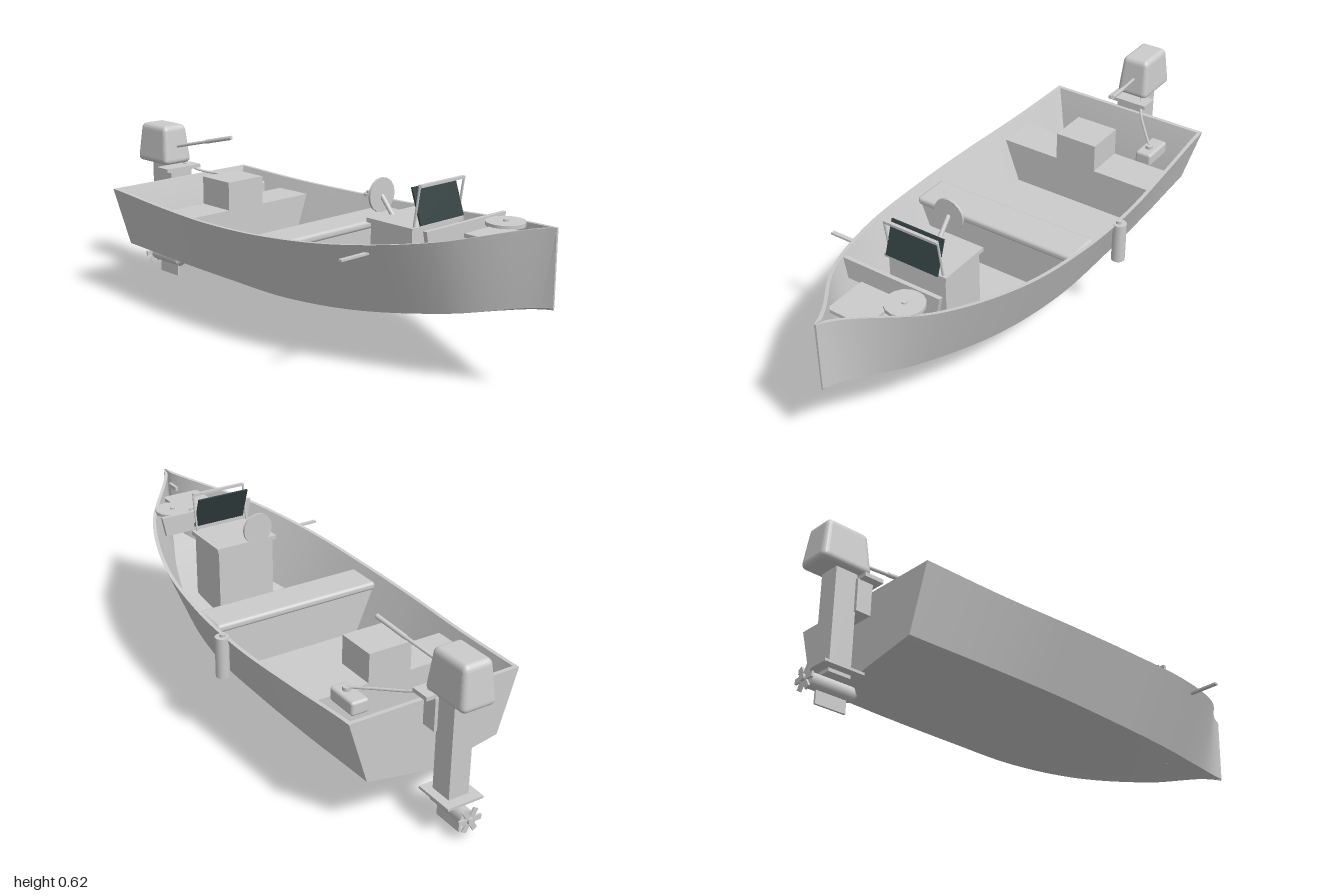
import * as THREE from 'three';
import { toCreasedNormals } from 'three/addons/utils/BufferGeometryUtils.js';
import { RoundedBoxGeometry } from 'three/addons/geometries/RoundedBoxGeometry.js';

const grey = new THREE.MeshStandardMaterial({ color: 0xcccccc });
const hullGrey = new THREE.MeshStandardMaterial({ color: 0xcccccc, side: THREE.DoubleSide });
const glass = new THREE.MeshStandardMaterial({ color: 0x334040 });

// Hull lines, sampled at seven evenly spaced stations from stern to bow
const X0 = -0.8, X1 = 1;
const line = (values) => {
  const curve = new THREE.SplineCurve(values.map((v, i) => new THREE.Vector2(i, v)));
  return (t) => curve.getPoint(t).y;
};
const rimZ = line([0.32, 0.337, 0.355, 0.349, 0.31, 0.205, 0.004]);
const rimY = line([0.415, 0.403, 0.4, 0.41, 0.437, 0.483, 0.55]);
const chineZ = line([0.25, 0.262, 0.267, 0.258, 0.212, 0.12, 0.003]);
const chineY = line([0.19, 0.187, 0.185, 0.182, 0.199, 0.24, 0.303]);
const keelY = line([0.145, 0.145, 0.145, 0.145, 0.16, 0.22, 0.296]);

// Half section: keel, chine, rim, inner rim, floor edge, floor middle
function halfSection(t) {
  const x = X0 + (X1 - X0) * t;
  const innerX = (start) => Math.max(x, start);
  const floorY = Math.max(0.2, chineY(t) + 0.012);
  return [
    [x, keelY(t), 0],
    [x, chineY(t), chineZ(t)],
    [x, rimY(t), rimZ(t)],
    [innerX(-0.785), rimY(t), Math.max(0.001, rimZ(t) - 0.014)],
    [innerX(-0.73), floorY, Math.max(0.0005, chineZ(t) - 0.008)],
    [innerX(-0.73), floorY, 0],
  ];
}

function hullGeometry() {
  const pos = [];
  const tri = (a, b, c) => pos.push(...a, ...b, ...c);
  const quad = (a, b, c, d) => { tri(a, b, c); tri(a, c, d); };
  const flip = ([x, y, z]) => [x, y, -z];
  const n = 48;
  for (let i = 0; i < n; i++) {
    const a = halfSection(i / n), b = halfSection((i + 1) / n);
    for (let j = 0; j < 5; j++) {
      quad(a[j], b[j], b[j + 1], a[j + 1]);
      quad(flip(a[j]), flip(a[j + 1]), flip(b[j + 1]), flip(b[j]));
    }
  }
  // Transom: outside, top edge and sloping inside
  const [k, c, r, ir, f] = halfSection(0);
  tri(k, c, flip(c));
  quad(flip(c), c, r, flip(r));
  quad(flip(r), r, ir, flip(ir));
  quad(flip(ir), ir, f, flip(f));
  // Narrow stem face
  const [bk, bc, br] = halfSection(1);
  tri(bk, flip(bc), bc);
  quad(bc, flip(bc), flip(br), br);
  const g = new THREE.BufferGeometry();
  g.setAttribute('position', new THREE.Float32BufferAttribute(pos, 3));
  return toCreasedNormals(g, 0.4);
}

// Slab across the boat with sloping ends, from x0 to x1
function crossSlab(x0, x1, y0, half0, y1, half1) {
  const s = new THREE.Shape([[-half0, y0], [half0, y0], [half1, y1], [-half1, y1]]
    .map(([x, y]) => new THREE.Vector2(x, y)));
  return new THREE.ExtrudeGeometry(s, { depth: x1 - x0, bevelEnabled: false })
    .rotateY(Math.PI / 2).translate(x0, 0, 0);
}

// Box given by its limits on each axis
const box = (x0, x1, y0, y1, z0, z1) =>
  new THREE.BoxGeometry(x1 - x0, y1 - y0, z1 - z0)
    .translate((x0 + x1) / 2, (y0 + y1) / 2, (z0 + z1) / 2);

const tube = (points, r) => new THREE.TubeGeometry(
  new THREE.CatmullRomCurve3(points.map((p) => new THREE.Vector3(...p))), 20, r, 8);

// Straight round bar between two points
function bar(a, b, r0, r1 = r0) {
  const va = new THREE.Vector3(...a), vb = new THREE.Vector3(...b);
  const d = vb.clone().sub(va);
  const q = new THREE.Quaternion().setFromUnitVectors(new THREE.Vector3(0, 1, 0), d.clone().normalize());
  const mid = va.add(vb).multiplyScalar(0.5);
  return new THREE.CylinderGeometry(r1, r0, d.length(), 16).applyQuaternion(q).translate(mid.x, mid.y, mid.z);
}

function buildMotor(add) {
  // Cowling narrows toward its top
  const cowl = new RoundedBoxGeometry(0.19, 0.15, 0.13, 3, 0.02);
  const p = cowl.attributes.position;
  for (let i = 0; i < p.count; i++) {
    const k = 1 - 0.2 * (p.getY(i) / 0.15 + 0.5);
    p.setX(i, p.getX(i) * k);
    p.setZ(i, p.getZ(i) * k);
  }
  cowl.computeVertexNormals();
  add('motorCowling', cowl.translate(-0.905, 0.537, 0));
  add('motorLeg', box(-0.93, -0.85, 0.1, 0.47, -0.038, 0.038));
  add('motorClamp', box(-0.855, -0.798, 0.33, 0.445, -0.05, 0.05));
  add('clampPlate', box(-0.85, -0.78, 0.442, 0.456, -0.08, 0.08));
  add('waterPlate', box(-0.965, -0.82, 0.112, 0.121, -0.068, 0.068));
  add('gearCase', bar([-0.975, 0.07, 0], [-0.82, 0.07, 0], 0.026));
  add('gearCaseNose', bar([-0.82, 0.07, 0], [-0.8, 0.07, 0], 0.026, 0.006));
  add('skeg', box(-0.945, -0.835, 0, 0.06, -0.004, 0.004));
  for (let i = 0; i < 3; i++) {
    add('propellerBlades', new THREE.BoxGeometry(0.007, 0.018, 0.086)
      .rotateX(i * Math.PI / 3).translate(-0.987, 0.07, 0));
  }
  add('propellerHub', bar([-0.999, 0.07, 0], [-0.97, 0.07, 0], 0.012));
  add('tiller', bar([-0.83, 0.53, 0], [-0.68, 0.565, -0.035], 0.006));
  add('tillerGrip', bar([-0.68, 0.565, -0.035], [-0.56, 0.593, -0.06], 0.008));
}

function buildConsole(add) {
  add('consoleBody', box(0.35, 0.53, 0.2, 0.467, -0.113, 0.113));
  add('consoleTop', box(0.34, 0.54, 0.465, 0.48, -0.123, 0.123));
  add('steeringWheel', bar([0.312, 0.537, 0.03], [0.321, 0.537, 0.03], 0.058));
  add('steeringColumn', bar([0.318, 0.535, 0.03], [0.37, 0.475, 0.03], 0.008));
  add('windscreen', new THREE.BoxGeometry(0.006, 0.125, 0.205)
    .rotateZ(0.33).translate(0.535, 0.547, 0), glass);
  for (const s of [-1, 1]) {
    add('windscreenPost', bar([0.53, 0.478, s * 0.105], [0.552, 0.615, s * 0.105], 0.004));
  }
  add('windscreenRail', box(0.546, 0.558, 0.61, 0.619, -0.104, 0.104));
}

export function createModel() {
  const boat = new THREE.Group();
  boat.name = 'motorBoat';
  const add = (name, geometry, material = grey) => {
    const m = new THREE.Mesh(geometry, material);
    m.name = name;
    boat.add(m);
  };

  add('hull', hullGeometry(), hullGrey);

  // Seats and stern storage
  add('sternBench', crossSlab(-0.56, -0.41, 0.2, 0.25, 0.36, 0.31));
  add('storageBox', box(-0.56, -0.41, 0.36, 0.465, -0.083, 0.08));
  add('middleBench', crossSlab(-0.01, 0.11, 0.2, 0.25, 0.355, 0.315));
  add('benchCushion', new RoundedBoxGeometry(0.14, 0.03, 0.645, 3, 0.012).translate(0.05, 0.37, 0));

  // Fuel tank, cap and hose
  add('fuelTank', new RoundedBoxGeometry(0.125, 0.05, 0.065, 2, 0.01).translate(-0.625, 0.375, -0.2));
  add('fuelCap', bar([-0.61, 0.39, -0.2], [-0.61, 0.412, -0.2], 0.014));
  add('fuelHose', tube([[-0.61, 0.41, -0.2], [-0.68, 0.42, -0.14], [-0.77, 0.435, -0.07], [-0.85, 0.47, -0.03]], 0.005));

  buildConsole(add);

  // Bow fittings
  add('bowThwart', crossSlab(0.645, 0.66, 0.43, 0.175, 0.505, 0.19));
  add('bowDeck', box(0.71, 0.87, 0.477, 0.49, -0.075, 0.075));
  add('bowHatch', bar([0.725, 0.487, -0.108], [0.725, 0.5, -0.108], 0.066));
  add('hatchKnob', bar([0.725, 0.5, -0.108], [0.725, 0.506, -0.108], 0.01));
  add('bowCleat', box(0.9, 0.96, 0.49, 0.505, -0.006, 0.006));

  // Side fittings
  add('fender', bar([-0.12, 0.257, -0.363], [-0.12, 0.405, -0.363], 0.024));
  add('fenderKnob', bar([-0.12, 0.405, -0.36], [-0.12, 0.415, -0.36], 0.01));
  add('sidePin', box(0.483, 0.498, 0.417, 0.424, 0.27, 0.39));

  buildMotor(add);
  return boat;
}
